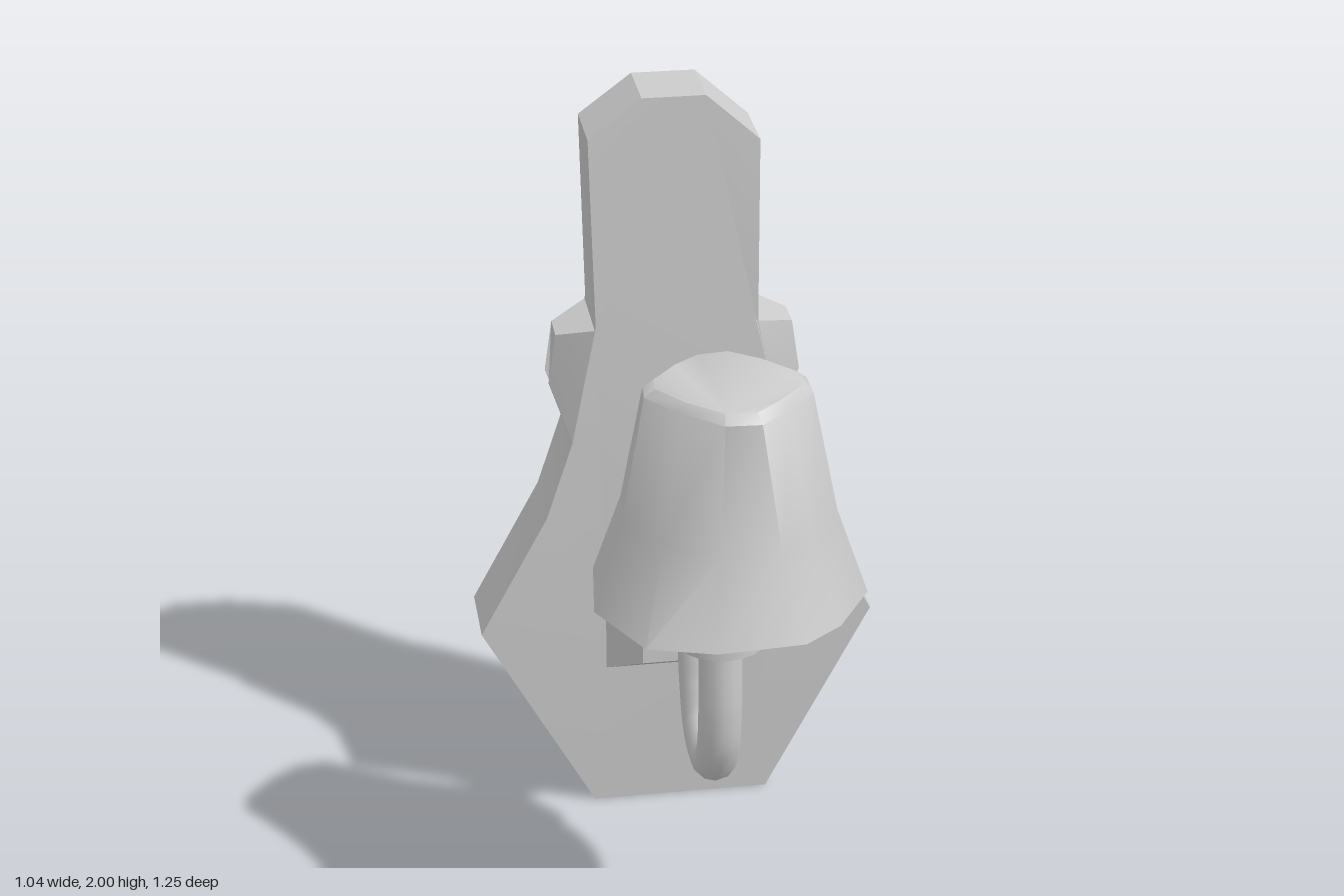
import * as THREE from 'three';
import { toCreasedNormals } from 'three/addons/utils/BufferGeometryUtils.js';

const material = new THREE.MeshStandardMaterial({ color: 0xcccccc, side: THREE.DoubleSide });
const BACK = -0.625;

// front of the plate leans back slightly at both ends
const frontZ = (y) => -0.41 - 0.025 * (Math.max(0, 0.55 - y) / 0.55 + Math.max(0, y - 1.4) / 0.6);

// skin over a series of equal-length loops of [x, y, z], optionally closed at the ends
function loft(loops, { capStart = false, capEnd = false, crease = 0.35 } = {}) {
  const n = loops[0].length;
  const positions = [];
  const tri = (a, b, c) => positions.push(...a, ...b, ...c);
  for (let k = 0; k + 1 < loops.length; k++) {
    for (let i = 0; i < n; i++) {
      const j = (i + 1) % n;
      const [a, b, c, d] = [loops[k][i], loops[k][j], loops[k + 1][j], loops[k + 1][i]];
      tri(a, b, c);
      tri(a, c, d);
    }
  }
  const first = loops[0], last = loops[loops.length - 1];
  for (let i = 1; i + 1 < n; i++) {
    if (capStart) tri(first[0], first[i + 1], first[i]);
    if (capEnd) tri(last[0], last[i], last[i + 1]);
  }
  const geometry = new THREE.BufferGeometry();
  geometry.setAttribute('position', new THREE.Float32BufferAttribute(positions, 3));
  return toCreasedNormals(geometry, crease);
}

export function createModel() {
  const group = new THREE.Group();
  const add = (name, geometry) => {
    const mesh = new THREE.Mesh(geometry, material);
    mesh.name = name;
    group.add(mesh);
    return mesh;
  };

  // outlines, counter-clockwise from the front
  const plate = [
    [-0.225, 0], [0.245, 0], [0.52, 0.545], [0.34, 0.875], [0.27, 1.09], [0.21, 1.4], [0.215, 1.88],
    [0.08, 2], [-0.08, 2], [-0.215, 1.9], [-0.205, 1.41], [-0.27, 1.09], [-0.34, 0.88], [-0.52, 0.55],
  ];
  const mirrorLoop = (half) => [...half, ...half.map(([x, y]) => [-x, y]).reverse()];
  const mountBase = mirrorLoop([[0.19, 0.42], [0.19, 0.82], [0.085, 1.04]]);
  const mountTip = mirrorLoop([[0.125, 0.56], [0.125, 0.84], [0.065, 0.975]]);
  const onFront = (loop) => loop.map(([x, y]) => [x, y, frontZ(y)]);
  const atZ = (loop, z) => loop.map(([x, y]) => [x, y, z]);

  // hollow wall plate, open at the back
  add('plateRim', loft([atZ(plate, BACK), onFront(plate)]));
  const toVectors = (loop) => loop.map(([x, y]) => new THREE.Vector2(x, y));
  const face = new THREE.Shape(toVectors(plate));
  face.holes.push(new THREE.Path(toVectors(mountBase)));
  const faceGeometry = new THREE.ShapeGeometry(face);
  const p = faceGeometry.attributes.position;
  for (let i = 0; i < p.count; i++) p.setZ(i, frontZ(p.getY(i)));
  faceGeometry.computeVertexNormals();
  add('plateFace', faceGeometry);

  // hollow mount that tapers forward to the arm
  add('armMount', loft([onFront(mountBase), atZ(mountTip, -0.18)], { capEnd: true }));

  // bevelled side ears
  for (const side of [1, -1]) {
    const ring = (profile, front, back) => {
      const loop = [
        ...profile.map(([x, y]) => [x * side, y, front]),
        ...profile.map(([x, y]) => [x * side, y, back]).reverse(),
      ];
      return side > 0 ? loop : loop.reverse();
    };
    const shift = side > 0 ? 0 : -0.01;
    const base = ring([[0.205, 1.4], [0.24, 1.24], [0.268, 1.09]], -0.41, BACK);
    const tip = ring([[0.31 + shift, 1.365], [0.33 + shift, 1.23], [0.3 + shift, 1.14]], -0.48, -0.57);
    add(side > 0 ? 'leftEar' : 'rightEar', loft([base, tip], { capEnd: true }));
  }

  // curved arm
  const path = new THREE.CatmullRomCurve3([
    [-0.19, 0.775], [-0.1, 0.77], [-0.03, 0.72], [0.01, 0.61], [0.06, 0.52], [0.15, 0.487],
    [0.24, 0.515], [0.3, 0.6], [0.32, 0.7], [0.32, 0.9],
  ].map(([z, y]) => new THREE.Vector3(-0.005, y, z)));
  add('arm', new THREE.TubeGeometry(path, 40, 0.054, 12));

  // lamp holder cup and neck
  const cup = new THREE.LatheGeometry(
    [[0.001, 0.875], [0.065, 0.875], [0.11, 0.9], [0.11, 0.99], [0.09, 1], [0.09, 1.035]]
      .map(([r, y]) => new THREE.Vector2(r, y)), 20);
  add('lampHolder', toCreasedNormals(cup, 0.5)).position.set(-0.005, 0, 0.32);

  // irregular twelve-sided shade
  const hem = [
    [-0.06, 0.62], [0.15, 0.605], [0.245, 0.53], [0.34, 0.375], [0.328, 0.2], [0.24, 0.08],
    [0.06, 0], [-0.1, -0.012], [-0.22, 0.07], [-0.29, 0.155], [-0.315, 0.375], [-0.22, 0.57],
  ];
  const crown = [
    [-0.025, 0.5], [0.06, 0.505], [0.13, 0.44], [0.205, 0.355], [0.205, 0.265], [0.125, 0.17],
    [0.045, 0.11], [-0.04, 0.12], [-0.11, 0.175], [-0.18, 0.26], [-0.185, 0.32], [-0.12, 0.41],
  ];
  const shadeLoop = (t, y, scale = 1) => hem.map(([x, z], i) => [
    0.01 + (THREE.MathUtils.lerp(x, crown[i][0], t) - 0.01) * scale, y,
    0.31 + (THREE.MathUtils.lerp(z, crown[i][1], t) - 0.31) * scale,
  ]);
  add('shade', loft(
    [shadeLoop(0, 1.03), shadeLoop(0.56, 1.25), shadeLoop(1, 1.55), shadeLoop(1, 1.57, 0.87)],
    { capStart: true, capEnd: true, crease: 0.7 }));

  return group;
}
